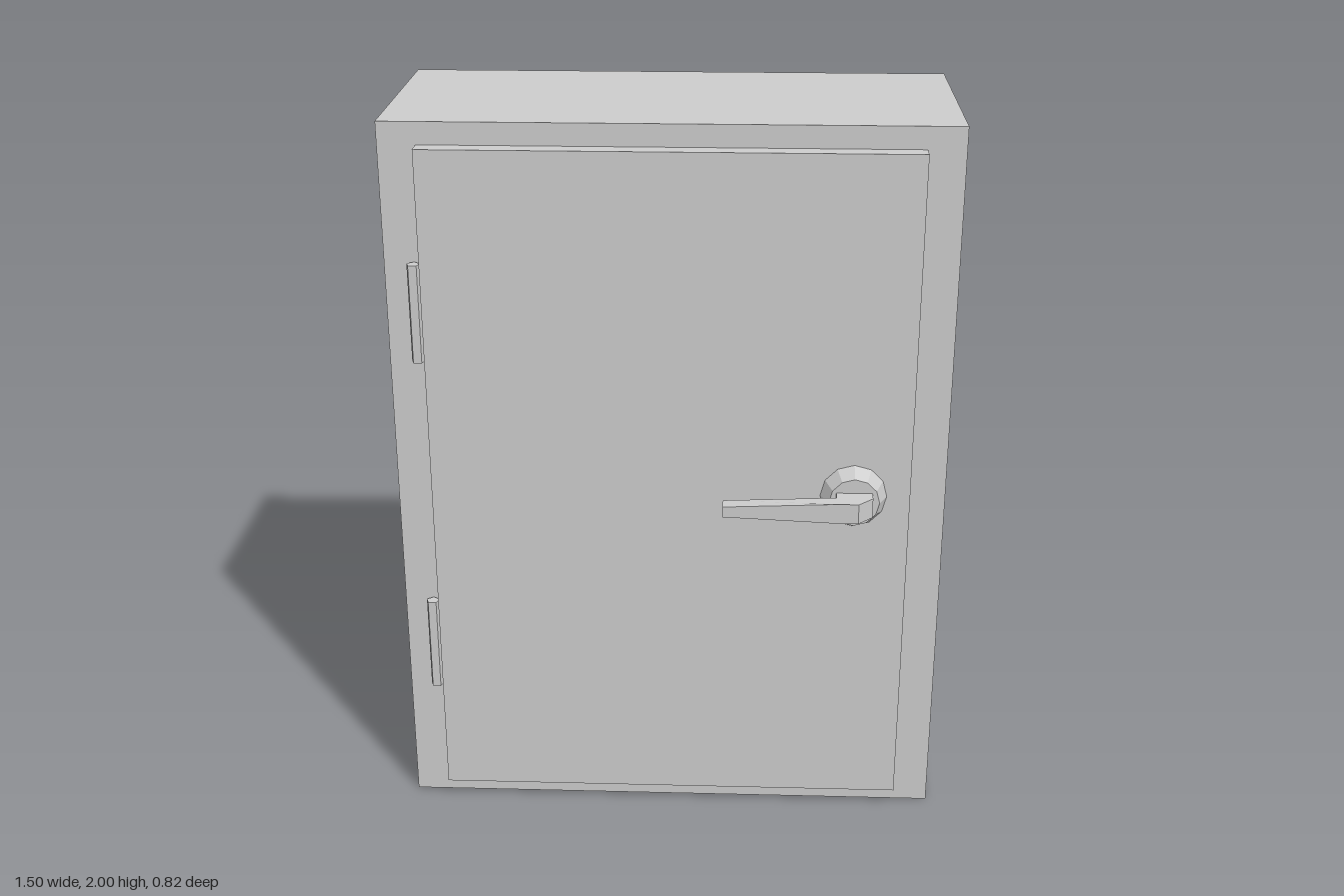
import * as THREE from 'three';

const material = new THREE.MeshStandardMaterial({ color: 0xcccccc, flatShading: true, side: THREE.DoubleSide });

function addPart(parent, name, geometry, x = 0, y = 0, z = 0) {
  const mesh = new THREE.Mesh(geometry, material);
  mesh.name = name;
  mesh.position.set(x, y, z);
  parent.add(mesh);
  return mesh;
}

// Box with its rear (-z) face left out
function openBackBox(w, h, d) {
  const geometry = new THREE.BoxGeometry(w, h, d);
  geometry.setIndex(Array.from(geometry.index.array).slice(0, 30));
  geometry.clearGroups();
  return geometry;
}

// Bent lever: plan outline in x/z, extruded in height and narrowed towards the tip
function leverGeometry() {
  const outline = [
    [0.145, 0.365], [0.448, 0.365], [0.448, 0.33], [0.545, 0.33], [0.545, 0.367],
    [0.505, 0.407], [0.448, 0.407], [0.145, 0.407],
  ];
  const shape = new THREE.Shape(outline.map(([x, z]) => new THREE.Vector2(x, z)));
  const geometry = new THREE.ExtrudeGeometry(shape, { depth: 2, bevelEnabled: false });
  geometry.translate(0, 0, -1).rotateX(Math.PI / 2);
  const p = geometry.attributes.position;
  for (let i = 0; i < p.count; i++) {
    const t = Math.min(1, (p.getX(i) - 0.145) / 0.303);
    p.setY(i, p.getY(i) * THREE.MathUtils.lerp(0.015, 0.028, t));
  }
  geometry.computeVertexNormals();
  return geometry;
}

export function createModel() {
  const cabinet = new THREE.Group();
  cabinet.name = 'wallCabinet';

  // Thin-walled housing, open at the back
  addPart(cabinet, 'housing', openBackBox(1.5, 2, 0.65), 0, 1, -0.085);

  // Raised door panel
  addPart(cabinet, 'door', openBackBox(1.3, 1.88, 0.05), 0, 1, 0.265);

  // Five-sided hinge pins
  for (const [name, y] of [['lowerHinge', 0.507], ['upperHinge', 1.495]]) {
    const pin = new THREE.CylinderGeometry(0.019, 0.019, 0.27, 5).rotateY(Math.PI);
    addPart(cabinet, name, pin, -0.67, y, 0.262);
  }

  // Handle: tapered rose and bent lever
  const handle = new THREE.Group();
  handle.name = 'handle';
  const rose = new THREE.CylinderGeometry(0.068, 0.09, 0.045, 12).rotateX(Math.PI / 2);
  addPart(handle, 'handleRose', rose, 0.497, 1, 0.3125);
  addPart(handle, 'handleLever', leverGeometry(), 0, 1, 0);
  cabinet.add(handle);

  return cabinet;
}
